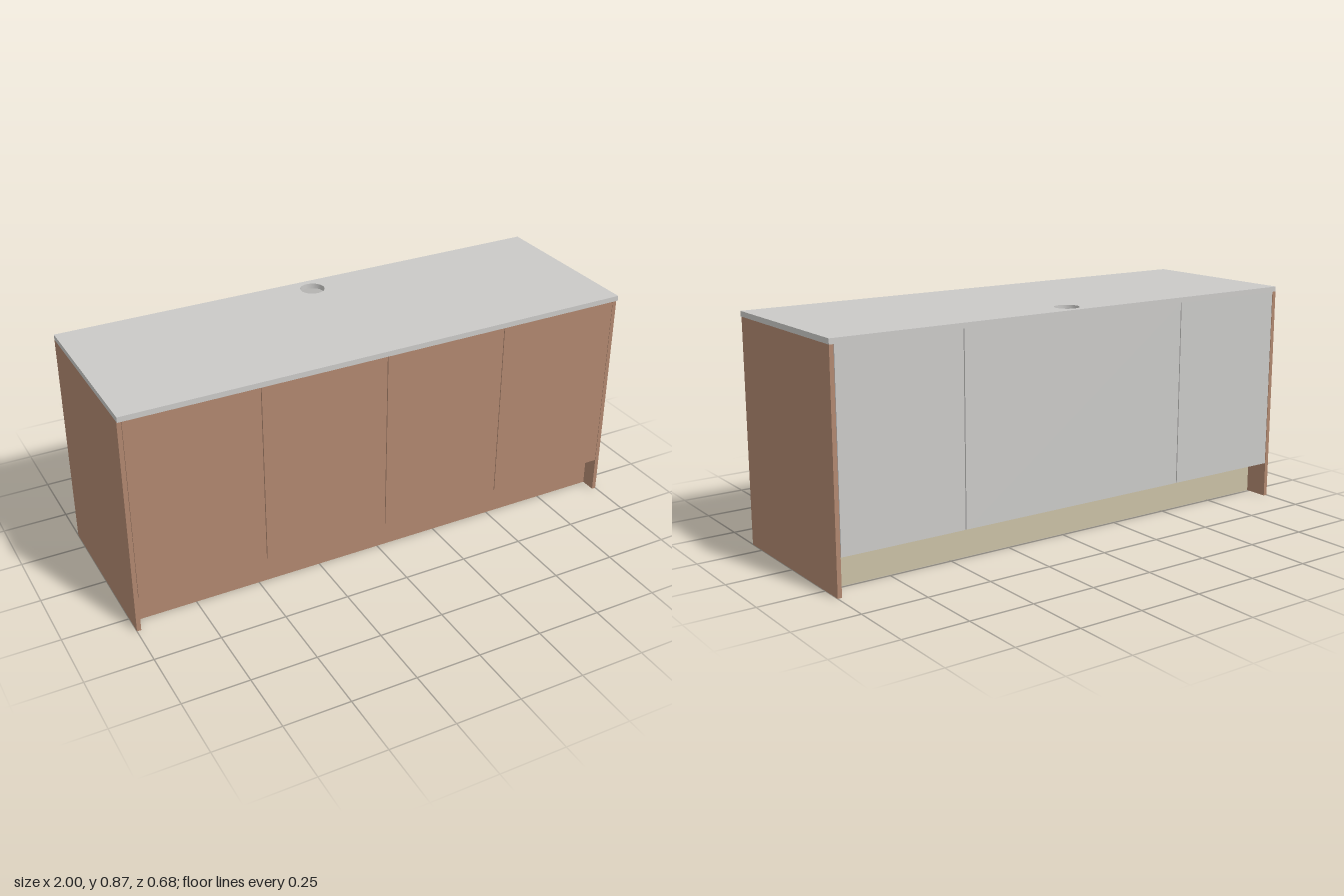
import * as THREE from 'three';

export function createModel() {
  const mat = (name, color) => {
    const m = new THREE.MeshStandardMaterial({ color });
    m.name = name;
    return m;
  };
  const wood = mat('wood brown', 0xb0876f);
  const grey = mat('light grey', 0xcac9c7);
  const beige = mat('plinth beige', 0xc9c0a5);

  const model = new THREE.Group();
  model.name = 'cabinetUnit';

  // Box given by its lower and upper limits on each axis
  const board = (parent, name, material, [x0, x1], [y0, y1], [z0, z1]) => {
    const mesh = new THREE.Mesh(new THREE.BoxGeometry(x1 - x0, y1 - y0, z1 - z0), material);
    mesh.position.set((x0 + x1) / 2, (y0 + y1) / 2, (z0 + z1) / 2);
    mesh.name = name;
    parent.add(mesh);
  };

  const T = 0.016;                 // board thickness
  const BASE = 0.14, TOP = 0.853;  // cabinet bottom, underside of worktop
  const BACK = -0.338, FRONT = 0.33;
  const INNER = 1 - T;

  // Worktop with a round cable hole near the back edge
  const outline = new THREE.Shape([[-1, -0.338], [1, -0.338], [1, 0.338], [-1, 0.338]]
    .map(([x, y]) => new THREE.Vector2(x, y)));
  const hole = new THREE.Path();
  hole.absarc(0, 0.265, 0.047, 0, Math.PI * 2, true);
  outline.holes.push(hole);
  const topGeo = new THREE.ExtrudeGeometry(outline, { depth: 0.02, bevelEnabled: false, curveSegments: 32 });
  topGeo.rotateX(-Math.PI / 2);
  const worktop = new THREE.Mesh(topGeo, grey);
  worktop.position.y = TOP;
  worktop.name = 'worktop';
  model.add(worktop);

  // Full-height end panels
  board(model, 'leftEndPanel', wood, [INNER, 1], [0, TOP], [BACK, FRONT]);
  board(model, 'rightEndPanel', wood, [-1, -INNER], [0, TOP], [BACK, FRONT]);

  // Three open-topped carcasses side by side
  const gap = 0.002;
  const carcassFront = FRONT - T - 0.002;
  [['right', -INNER, -0.492], ['middle', -0.492, 0.492], ['left', 0.492, INNER]].forEach(([side, a, b]) => {
    const carcass = new THREE.Group();
    carcass.name = side + 'Carcass';
    model.add(carcass);
    const x0 = a + gap, x1 = b - gap;
    board(carcass, 'carcassSide', grey, [x0, x0 + T], [BASE, TOP], [BACK + T, carcassFront]);
    board(carcass, 'carcassSide', grey, [x1 - T, x1], [BASE, TOP], [BACK + T, carcassFront]);
    board(carcass, 'carcassFloor', grey, [x0 + T, x1 - T], [BASE, BASE + T], [BACK + T, carcassFront]);
    board(carcass, 'carcassBack', grey, [x0, x1], [BASE, TOP], [BACK, BACK + T]);
  });

  // Doors: one on each outer carcass, a pair in the middle
  const seams = [-INNER, -0.49, 0, 0.49, INNER];
  for (let i = 0; i < 4; i++) {
    board(model, 'door', wood, [seams[i] + 0.0015, seams[i + 1] - 0.0015],
      [BASE, TOP - 0.003], [FRONT - T, FRONT]);
  }

  // Recessed plinth frame: front and rear boards joined by cross pieces
  const plinthFront = 0.27, plinthRear = -0.242;
  board(model, 'frontPlinth', wood, [-INNER, INNER], [0, BASE], [plinthFront - T, plinthFront]);
  board(model, 'rearPlinth', beige, [-INNER, INNER], [0, BASE], [plinthRear, plinthRear + T]);
  for (const x of [-0.975, -0.498, 0.482, 0.975]) {
    board(model, 'plinthCrossPiece', beige, [x - T / 2, x + T / 2], [0, BASE],
      [plinthRear + T, plinthFront - T]);
  }
  return model;
}
